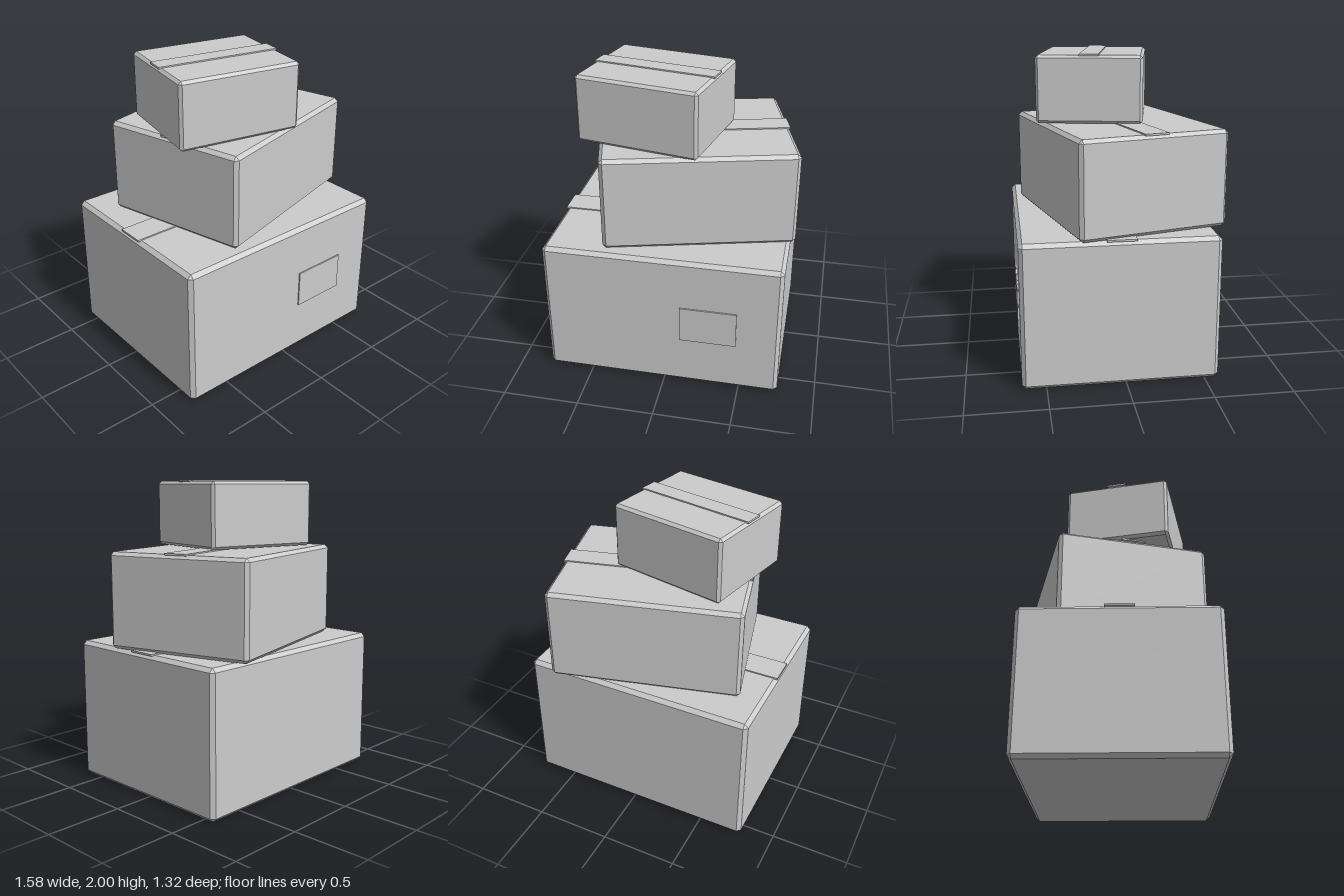
import * as THREE from 'three';
import { ConvexGeometry } from 'three/addons/geometries/ConvexGeometry.js';

// Box whose edges are all cut by a chamfer c
function chamferedBox(w, h, d, c) {
  const points = [];
  for (const x of [-1, 1]) for (const y of [-1, 1]) for (const z of [-1, 1]) {
    const [px, py, pz] = [w / 2, h / 2, d / 2];
    points.push(
      new THREE.Vector3(x * px, y * (py - c), z * (pz - c)),
      new THREE.Vector3(x * (px - c), y * py, z * (pz - c)),
      new THREE.Vector3(x * (px - c), y * (py - c), z * pz)
    );
  }
  return new ConvexGeometry(points);
}

export function createModel() {
  const model = new THREE.Group();
  model.name = 'boxStack';
  const cardboard = new THREE.MeshStandardMaterial({ color: 0xcccccc, flatShading: true });
  cardboard.name = 'plain grey';

  function add(parent, name, geometry, x, y, z) {
    const mesh = new THREE.Mesh(geometry, cardboard);
    mesh.name = name;
    mesh.position.set(x, y, z);
    parent.add(mesh);
  }

  // Three boxes, each with a strip of tape along its top
  const boxes = [
    { name: 'bottomBox', size: [1.552, 0.938, 1.242], c: 0.025, at: [-0.019, 0, 0.031], turn: 0, tape: 0.185 },
    { name: 'middleBox', size: [1.235, 0.618, 0.985], c: 0.023, at: [0.072, 0.94, -0.034], turn: 0.257, tape: 0.155 },
    { name: 'topBox', size: [0.806, 0.43, 0.68], c: 0.018, at: [-0.145, 1.562, 0.089], turn: -0.2, tape: 0.122 },
  ];
  for (const { name, size: [w, h, d], c, at, turn, tape } of boxes) {
    const group = new THREE.Group();
    group.name = name;
    group.position.set(...at);
    group.rotation.y = turn;
    add(group, name + 'Body', chamferedBox(w, h, d, c), 0, h / 2, 0);
    add(group, name + 'Tape', new THREE.BoxGeometry(w, 0.012, tape), 0, h + 0.002, 0);
    model.add(group);
  }

  // Blank label on the front of the bottom box
  add(model, 'label', new THREE.BoxGeometry(0.37, 0.25, 0.009), 0.29, 0.47, 0.656);
  return model;
}
